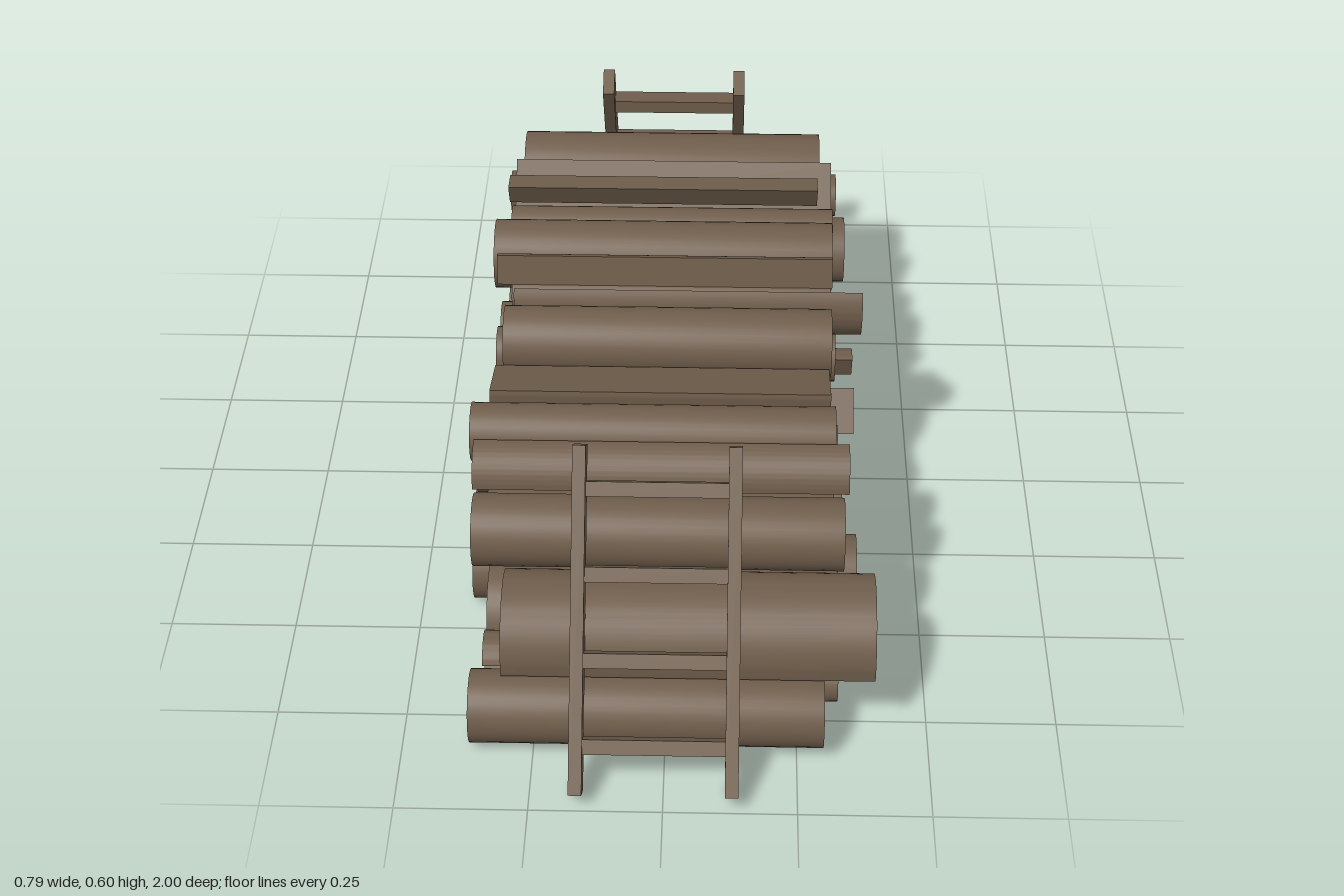
import * as THREE from 'three';
import { mergeVertices, toCreasedNormals } from 'three/addons/utils/BufferGeometryUtils.js';

// Round logs: z, y, radius, and optionally the left and right ends in x
const ROUND = [
  [0.80, 0.075, 0.070, -0.37, 0.30], [0.685, 0.05, 0.043, -0.35, 0.33], [0.55, 0.10, 0.095, -0.35, 0.33],
  [0.385, 0.075, 0.070, -0.395, 0.373], [0.22, 0.095, 0.088], [0.075, 0.062, 0.055],
  [-0.185, 0.078, 0.073], [-0.29, 0.04, 0.033], [-0.415, 0.11, 0.102], [-0.59, 0.077, 0.070],
  [-0.705, 0.053, 0.048, -0.36, 0.35], [-0.825, 0.07, 0.065, -0.33, 0.325], [0.59, 0.334, 0.070, -0.37, 0.335],
  [0.43, 0.22, 0.073], [0.305, 0.32, 0.083, -0.36, 0.315], [0.20, 0.235, 0.050],
  [0.42, 0.33, 0.033], [0.405, 0.427, 0.057, -0.385, 0.32], [0.08, 0.415, 0.070, -0.345, 0.32],
  [-0.03, 0.29, 0.096, -0.35, 0.32], [-0.07, 0.14, 0.055], [-0.16, 0.21, 0.055], [-0.145, 0.37, 0.043],
  [-0.28, 0.195, 0.053], [-0.265, 0.395, 0.074, -0.39, 0.33], [-0.395, 0.375, 0.050, -0.365, 0.335],
  [-0.445, 0.26, 0.045], [-0.56, 0.22, 0.073, -0.38, 0.37], [-0.64, 0.365, 0.095, -0.35, 0.31],
  [-0.735, 0.255, 0.048, -0.395, 0.355],
];

// Split logs: z and y of the heart, radius, direction of the bark, spread (degrees), x ends
const SPLIT = [
  [0.685, 0.168, 0.115, 99, 180, -0.31, 0.395], [0.70, 0.11, 0.05, 70, 180, -0.35, 0.30],
  [0.465, 0.385, 0.068, 135, 90], [0.515, 0.26, 0.10, 72, 45], [0.53, 0.195, 0.065, 100, 50],
  [0.345, 0.15, 0.10, 58, 48], [0.22, 0.42, 0.07, -105, 180, -0.36, 0.315],
  [0.155, 0.24, 0.095, 25, 50, -0.35, 0.37], [0.06, 0.21, 0.092, -107, 180],
  [-0.06, 0.44, 0.083, -127, 180, -0.33, 0.385], [-0.125, 0.41, 0.065, 50, 55],
  [-0.05, 0.075, 0.067, -105, 180], [-0.195, 0.262, 0.085, 33, 50], [-0.34, 0.295, 0.073, -62, 180],
  [-0.305, 0.27, 0.085, -50, 45], [-0.435, 0.455, 0.06, -35, 60], [-0.51, 0.405, 0.068, -48, 180, -0.365, 0.335],
  [-0.485, 0.285, 0.07, 30, 55], [-0.72, 0.195, 0.088, -80, 180, -0.36, 0.35],
  [-0.27, 0.08, 0.058, 80, 60, -0.35, 0.385], [-0.63, 0.195, 0.075, 30, 55], [-0.19, 0.26, 0.06, 130, 60],
];

// A log with sides and ends shaded as one smooth surface
function smoothLog(r, length) {
  const geometry = new THREE.CylinderGeometry(r, r, length, 32).rotateZ(Math.PI / 2);
  geometry.deleteAttribute('normal');
  geometry.deleteAttribute('uv');
  const welded = mergeVertices(geometry, 1e-4);
  welded.computeVertexNormals();
  return welded;
}

export function createModel() {
  const wood = new THREE.MeshStandardMaterial({ color: 0x705e4c });
  wood.name = 'brown wood';
  const model = new THREE.Group();
  model.name = 'woodpile';

  let seed = 7;
  const rand = () => (seed = (seed * 16807) % 2147483647) / 2147483647;

  function add(parent, name, geometry) {
    const mesh = new THREE.Mesh(geometry, wood);
    mesh.name = name;
    parent.add(mesh);
    return mesh;
  }

  const stack = new THREE.Group();
  stack.name = 'stackedLogs';
  model.add(stack);

  // Whole logs lying along x
  for (const [z, y, r, a, b] of ROUND) {
    const x0 = a ?? -0.34 - rand() * 0.05, x1 = b ?? 0.30 + rand() * 0.05;
    add(stack, 'roundLog', smoothLog(r, x1 - x0)).position.set((x0 + x1) / 2, y, z);
  }

  // Halves and wedges split from logs
  for (const [z, y, r, dir, spread, a, b] of SPLIT) {
    const x0 = a ?? -0.33 - rand() * 0.05, x1 = b ?? 0.30 + rand() * 0.05;
    const mid = THREE.MathUtils.degToRad(dir), half = THREE.MathUtils.degToRad(spread / 2);
    const shape = new THREE.Shape();
    if (spread < 180) shape.moveTo(0, 0).lineTo(r * Math.cos(mid - half), r * Math.sin(mid - half));
    shape.absarc(0, 0, r, mid - half, mid + half, false);
    shape.closePath();
    const solid = new THREE.ExtrudeGeometry(shape, { depth: x1 - x0, bevelEnabled: false, curveSegments: 16 });
    const geometry = toCreasedNormals(solid.rotateY(Math.PI / 2), 0.6);
    add(stack, 'splitLog', geometry).position.set(x0, y, z);
  }

  // Leaning ladder-like end supports: foot and top as [z, y], rail width, rung heights and tilt
  function endSupport(name, foot, top, width, rungs, tilted) {
    const group = new THREE.Group();
    group.name = name;
    model.add(group);
    const dz = top[0] - foot[0], dy = top[1] - foot[1];
    const lean = Math.atan2(dz, dy), length = Math.hypot(dz, dy);
    for (const x of [-0.1625, 0.1275]) {
      const rail = add(group, 'rail', new THREE.BoxGeometry(0.025, length, width));
      rail.position.set(x, (foot[1] + top[1]) / 2, (foot[0] + top[0]) / 2);
      rail.rotation.x = lean;
    }
    for (const y of rungs) {
      const rung = add(group, 'rung', new THREE.BoxGeometry(0.267, 0.028, 0.045));
      rung.position.set(-0.0175, y, foot[0] + dz * (y - foot[1]) / dy);
      rung.rotation.x = tilted ? lean : 0;
    }
  }
  endSupport('frontSupport', [0.972, 0.02], [0.597, 0.547], 0.066, [0.092, 0.222, 0.352, 0.481], true);
  endSupport('backSupport', [-0.97, 0.016], [-0.667, 0.59], 0.064, [0.085, 0.225, 0.37, 0.515], false);

  return model;
}
